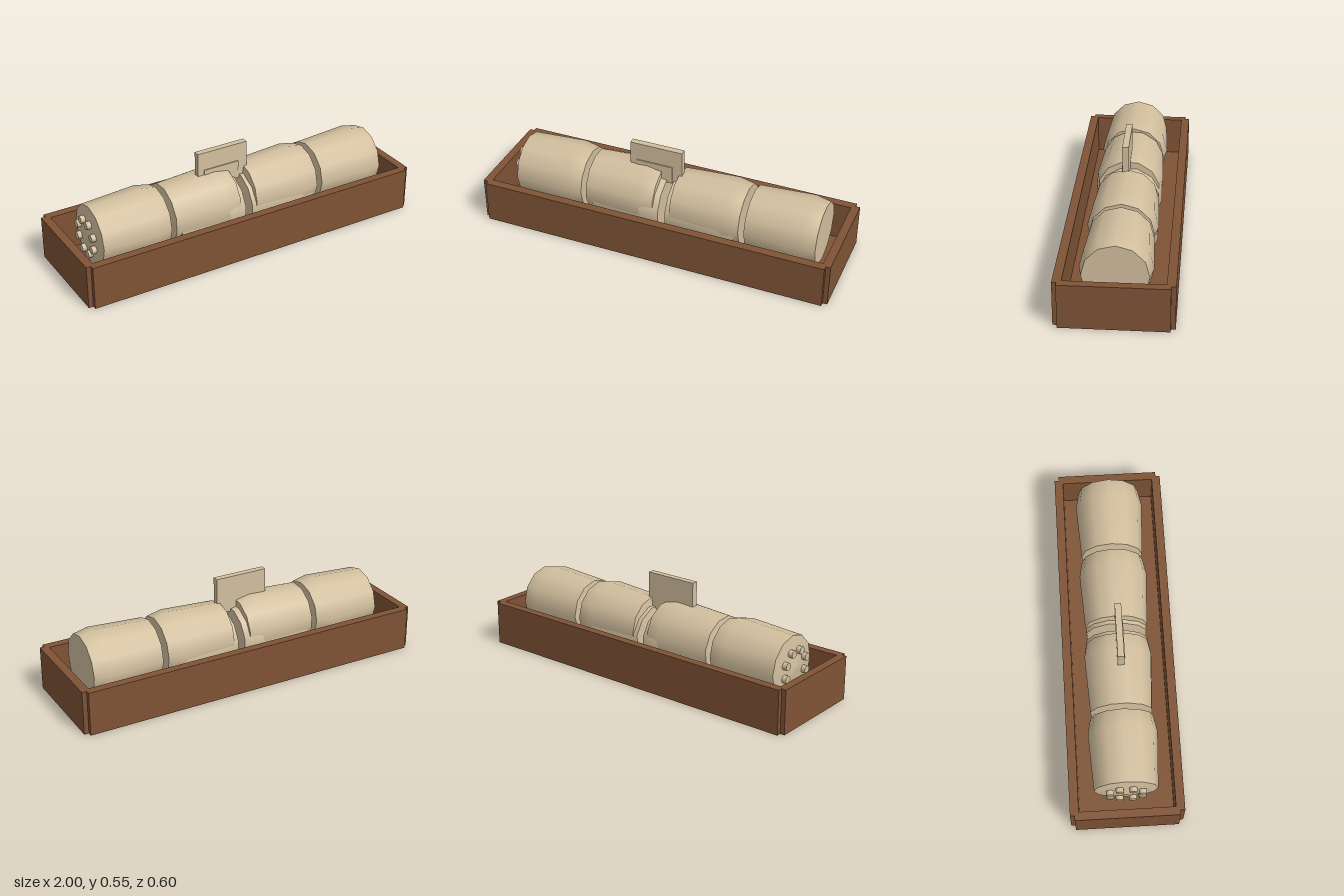
import * as THREE from 'three';

export function createModel() {
  const model = new THREE.Group();
  const wood = new THREE.MeshStandardMaterial({ name: 'brown wood', color: 0x7f5335 });
  const tan = new THREE.MeshStandardMaterial({ name: 'pale tan', color: 0xd2bf9e });

  const add = (parent, name, geometry, material) => {
    const mesh = new THREE.Mesh(geometry, material);
    mesh.name = name;
    parent.add(mesh);
    return mesh;
  };
  // box given by its lower and upper limits
  const box = (parent, name, [x0, y0, z0], [x1, y1, z1], material) =>
    add(parent, name, new THREE.BoxGeometry(x1 - x0, y1 - y0, z1 - z0), material)
      .position.set((x0 + x1) / 2, (y0 + y1) / 2, (z0 + z1) / 2);

  // open tray with notched corners
  const tray = new THREE.Group();
  tray.name = 'tray';
  model.add(tray);
  const H = 0.243;
  box(tray, 'trayFloor', [-0.975, 0, -0.278], [0.975, 0.025, 0.278], wood);
  for (const s of [-1, 1]) {
    add(tray, 'longWall', new THREE.BoxGeometry(1.95, H, 0.047), wood).position.set(0, H / 2, s * 0.2785);
    add(tray, 'endWall', new THREE.BoxGeometry(0.045, H, 0.556), wood).position.set(s * 0.9775, H / 2, 0);
  }

  // twelve-sided barrel: shallow pointed cap, swelling side, flat end (doubled points keep edges sharp)
  const profile = [[0, 0], [0.17, 0.027], [0.17, 0.027], [0.187, 0.335], [0.17, 0.42], [0.17, 0.42], [0, 0.42]];
  const barrel = new THREE.LatheGeometry(profile.map(([r, y]) => new THREE.Vector2(r, y)), 12);
  barrel.rotateZ(-Math.PI / 2);
  const addBarrel = (name, x, y, roll) => {
    const mesh = add(model, name, barrel, tan);
    mesh.position.set(x, y, 0);
    mesh.rotation.x = roll;
  };
  for (const [x, roll] of [[-0.875, 0], [-0.452, 0.2], [0.04, 0], [0.465, 0]]) addBarrel('barrel', x, 0.235, roll);
  // lower barrels showing in the middle gap
  for (const x of [-0.42, 0.013]) addBarrel('lowerBarrel', x, 0.19, Math.PI / 12);

  // ring of knobs on the capped end
  const knob = new THREE.CylinderGeometry(0.021, 0.021, 0.025, 12);
  knob.rotateZ(Math.PI / 2);
  for (let i = 0; i < 8; i++) {
    const a = (i + 0.5) * Math.PI / 4;
    add(model, 'knob', knob, tan).position.set(-0.8725, 0.235 + 0.093 * Math.cos(a), 0.093 * Math.sin(a));
  }

  // upright plate with a thin panel on its front
  box(model, 'uprightPlate', [-0.215, 0.34, -0.008], [0.085, 0.545, 0.027], tan);
  box(model, 'frontPanel', [-0.18, 0.34, 0.027], [0.03, 0.443, 0.033], tan);

  return model;
}
